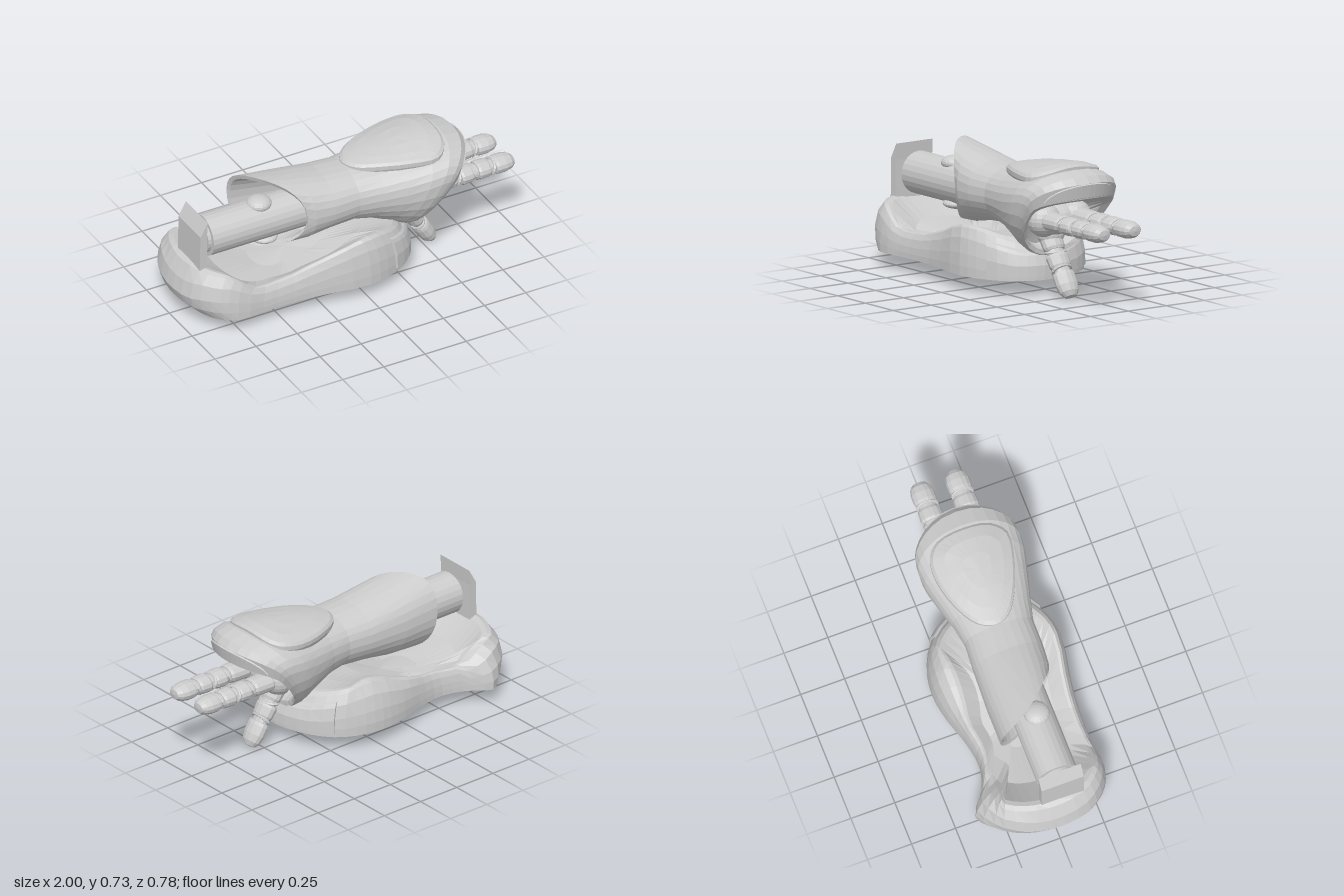
import * as THREE from 'three';

const grey = new THREE.MeshStandardMaterial({ color: 0xcccccc, flatShading: true });
const thin = new THREE.MeshStandardMaterial({ color: 0xcccccc, flatShading: true, side: THREE.DoubleSide });

function part(parent, name, geometry, material = grey) {
  const mesh = new THREE.Mesh(geometry, material);
  mesh.name = name;
  parent.add(mesh);
  return mesh;
}

// Skin over rows of [x, y, z] points; closed joins each row into a ring
function skin(rows, closed = true) {
  const n = rows[0].length, index = [];
  for (let i = 0; i < rows.length - 1; i++)
    for (let j = 0; j < (closed ? n : n - 1); j++) {
      const a = i * n + j, b = i * n + (j + 1) % n;
      index.push(a, a + n, b + n, a, b + n, b);
    }
  const g = new THREE.BufferGeometry();
  g.setAttribute('position', new THREE.Float32BufferAttribute(rows.flat(2), 3));
  g.setIndex(index);
  g.computeVertexNormals();
  return g;
}

// Closed smooth outline in the ground plane
function outline(points, count) {
  const curve = new THREE.CatmullRomCurve3(points.map(([x, z]) => new THREE.Vector3(x, 0, z)), true);
  return curve.getPoints(count).slice(0, count);
}

// Piecewise linear lookup in [x, value] pairs
function lookup(table, x) {
  if (x <= table[0][0]) return table[0][1];
  for (let i = 1; i < table.length; i++) {
    const [x0, v0] = table[i - 1], [x1, v1] = table[i];
    if (x <= x1) return v0 + (v1 - v0) * (x - x0) / (x1 - x0);
  }
  return table[table.length - 1][1];
}

// Sleeve stations: top x, y, bottom x, y, centre z, half width, side shear, side bow, height of widest point
const stations = [
  [-0.26, 0.63, -0.26, 0.34, 0.04, 0.15, 0, 0, 0.5],
  [-0.48, 0.685, -0.43, 0.30, 0.02, 0.175, 0.135, -0.05, 0.5],
  [-0.49, 0.71, -0.44, 0.28, 0.02, 0.19, 0.14, -0.05, 0.5],
  [-0.30, 0.68, -0.28, 0.29, 0.03, 0.20, 0.06, 0, 0.5],
  [-0.12, 0.65, -0.12, 0.32, 0.04, 0.20, 0, 0, 0.5],
  [0.03, 0.642, 0.03, 0.33, 0.045, 0.195, 0, 0, 0.52],
  [0.17, 0.65, 0.13, 0.31, 0.05, 0.22, 0, 0, 0.56],
  [0.32, 0.672, 0.22, 0.27, 0.05, 0.255, 0, 0, 0.6],
  [0.47, 0.692, 0.29, 0.23, 0.05, 0.285, 0, 0.01, 0.65],
  [0.60, 0.705, 0.33, 0.21, 0.05, 0.293, 0, 0.04, 0.67],
  [0.69, 0.685, 0.35, 0.205, 0.05, 0.29, 0, 0.07, 0.7],
  [0.72, 0.65, 0.36, 0.205, 0.05, 0.283, 0, 0.08, 0.73],
  [0.705, 0.565, 0.37, 0.21, 0.05, 0.265, 0, 0.085, 0.8],
  [0.67, 0.55, 0.37, 0.235, 0.05, 0.225, 0, 0.085, 0.75],
  [0.42, 0.52, 0.30, 0.26, 0.05, 0.18, 0, 0, 0.6],
  [0.40, 0.40, 0.32, 0.38, 0.05, 0.02, 0, 0, 0.5],
];

// Rounded section, boxier above its widest point than below
function sectionPoint([xt, yt, xb, yb, cz, hw, shear, bow, wide], a) {
  const e = Math.sin(a) > 0 ? 0.85 : 1;
  const soft = v => Math.sign(v) * Math.abs(v) ** e;
  const c = soft(Math.cos(a)), s = soft(Math.sin(a));
  const t = wide + s * (s > 0 ? 1 - wide : wide);
  return [xb + (xt - xb) * t + shear * c - bow * c * c, yb + (yt - yb) * t, cz + hw * c];
}

function addBase(group) {
  const edge = outline([
    [0.38, 0.05], [0.36, 0.17], [0.29, 0.28], [0.15, 0.36], [0, 0.39], [-0.3, 0.345], [-0.55, 0.335],
    [-0.76, 0.345], [-0.88, 0.30], [-0.97, 0.19], [-1, 0], [-0.97, -0.18], [-0.89, -0.31], [-0.76, -0.39],
    [-0.64, -0.31], [-0.5, -0.27], [-0.35, -0.29], [-0.18, -0.34], [-0.04, -0.36], [0.1, -0.34],
    [0.23, -0.27], [0.33, -0.13]], 56);
  const rim = [[-1, 0.3], [-0.93, 0.355], [-0.8, 0.335], [-0.73, 0.29], [-0.65, 0.225], [-0.55, 0.215], [-0.4, 0.23],
    [-0.2, 0.29], [-0.1, 0.33], [0, 0.355], [0.1, 0.345], [0.25, 0.30], [0.33, 0.26]];
  const floor = [[-0.85, 0.29], [-0.65, 0.2], [-0.4, 0.18], [-0.2, 0.23], [0, 0.31], [0.25, 0.28]];
  // One level of the wall: the far side leans inward, the heel tucks under
  const ring = (points, s, yOf, tuck = 0) => points.map(p => {
    const x = -0.3 + (p.x + 0.3) * s;
    const lean = Math.min(0, p.z + 0.3) * Math.min(Math.max(1 - s, 0), 0.15) * 8;
    return [x + tuck * THREE.MathUtils.clamp((-0.75 - x) / 0.25, 0, 1), yOf(x), s > 0 ? p.z * s - lean : 0];
  });
  const rimY = k => x => 0.08 + (lookup(rim, x) - 0.08) * k;
  const floorY = x => lookup(floor, x);
  part(group, 'base', skin([
    ring(edge, 0, () => 0.08), ring(edge, 1, () => 0.08, 0.07), ring(edge, 1, rimY(0.2), 0.02),
    ring(edge, 0.99, rimY(0.45), -0.008), ring(edge, 0.96, rimY(0.75), -0.01),
    ring(edge, 0.91, rimY(0.95)), ring(edge, 0.87, rimY(1)), ring(edge, 0.83, rimY(0.98)),
    ring(edge, 0.62, floorY), ring(edge, 0.3, floorY), ring(edge, 0, floorY)]));

  // Raised panel wrapped round the toe, its end columns sunk into the wall
  const start = edge.findIndex(p => p.x < 0.14);
  const arc = [...edge.slice(-8).filter(p => p.z > -0.28), ...edge.slice(0, start)];
  const lip = (s, y) => {
    const row = ring(arc, s, y), low = ring(arc, s - 0.035, y);
    return [low[0], ...row, low[low.length - 1]];
  };
  part(group, 'toePanel', skin([lip(0.99, () => 0.1), lip(1.015, () => 0.103), lip(1.012, rimY(0.45)),
    lip(0.984, rimY(0.75)), lip(0.964, rimY(0.83)), lip(0.92, rimY(0.85))], false), thin);
}

function addSleeve(group) {
  const sides = 28;
  part(group, 'sleeve', skin(stations.map(st =>
    Array.from({ length: sides }, (_, j) => sectionPoint(st, j / sides * Math.PI * 2)))), thin);

  // Raised band across the front of the hood
  const rows = [0, 0.06, 0.5, 0.94, 1].map((t, i) => Array.from({ length: 19 }, (_, j) => {
    const u = j / 18 * 2 - 1, a = Math.PI / 2 - u * 0.98;
    const k = 0.95 + (t - 1) * 0.95 * Math.sqrt(1 - u * u * 0.95);
    const st = stations[11].map((v, m) => v + (stations[12][m] - v) * k);
    const [x, y, z] = sectionPoint(st, a);
    return [x + (i % 4 ? 0.009 : -0.004), y, z];
  }));
  part(group, 'hoodBand', skin(rows, false), thin);

  // Domed plate on the back of the hand
  const edge = outline([[0.03, 0.03], [0.06, 0.11], [0.16, 0.18], [0.34, 0.25], [0.49, 0.27], [0.56, 0.2],
    [0.58, 0.05], [0.56, -0.11], [0.5, -0.17], [0.38, -0.185], [0.2, -0.14], [0.07, -0.06]], 36);
  const crest = [[0.03, 0.662], [0.2, 0.7], [0.35, 0.722], [0.48, 0.735], [0.58, 0.73]];
  const ring = (s, drop) => edge.map(p => {
    const x = 0.33 + (p.x - 0.33) * s, z = 0.045 + (p.z - 0.045) * s;
    return [x, lookup(crest, x) - 0.048 * ((z - 0.045) / 0.22) ** 2 - drop, z];
  });
  part(group, 'handPlate', skin([ring(0, 0), ring(0.35, 0), ring(0.7, 0), ring(0.94, 0.002), ring(1, 0.012),
    ring(1, 0.035), ring(0.96, 0.06)]), thin);
}

function ellipsoid(group, name, position, scale) {
  const mesh = part(group, name, new THREE.SphereGeometry(1, 18, 12));
  mesh.position.set(...position);
  mesh.scale.set(...scale);
}

// Jointed finger growing along its own y axis
function addFinger(group, name, position, angle, spans) {
  const finger = new THREE.Group();
  finger.name = name;
  const end = spans[spans.length - 1][1];
  const core = part(finger, 'core', new THREE.CylinderGeometry(0.045, 0.048, end - 0.05, 12));
  core.position.y = (end - 0.05) / 2;
  spans.forEach(([a, b], i) => {
    const r = 0.064 - 0.001 * i, len = b - a, tip = i === spans.length - 1;
    const profile = tip
      ? [[0.03, 0], [r - 0.004, 0.002], [r, 0.02], [r, len * 0.5], [r * 0.86, len * 0.78], [r * 0.55, len * 0.96], [0, len]]
      : [[0.03, 0], [r - 0.006, 0.002], [r, 0.015], [r - 0.003, len - 0.015], [r - 0.01, len], [0.03, len]];
    const seg = part(finger, tip ? 'fingertip' : 'phalanx', new THREE.LatheGeometry(profile.map(p => new THREE.Vector2(...p)), 14));
    seg.position.y = a;
    if (!tip) {
      // Tilted collar bridging the joint
      const collar = part(finger, 'jointCollar', new THREE.TorusGeometry(0.052, 0.009, 6, 16));
      collar.position.y = b + 0.01;
      collar.rotation.set(Math.PI / 2, i % 2 ? 0.3 : -0.3, 0);
    }
  });
  finger.position.set(...position);
  finger.rotation.z = angle;
  finger.scale.set(0.8, 1, 1.06);
  group.add(finger);
}

export function createModel() {
  const group = new THREE.Group();
  addBase(group);
  addSleeve(group);

  // Forearm with its end flange
  for (const [name, r, x0, x1] of [['forearm', 0.115, -0.82, -0.2], ['forearmFlange', 0.092, -0.84, -0.81]]) {
    const tube = part(group, name, new THREE.CylinderGeometry(r, r, x1 - x0, 24));
    tube.rotation.z = Math.PI / 2;
    tube.position.set((x0 + x1) / 2, 0.47, 0.05);
  }

  // End plate with a slanted fin along its top
  const profile = new THREE.Shape([[-0.91, 0.32], [-0.865, 0.32], [-0.865, 0.54], [-0.86, 0.63], [-0.905, 0.55]]
    .map(p => new THREE.Vector2(...p)));
  part(group, 'endPlate', new THREE.ExtrudeGeometry(profile, { depth: 0.24, bevelEnabled: false })).position.z = -0.07;

  // Wrist domes
  ellipsoid(group, 'wristDomeTop', [-0.49, 0.575, 0.06], [0.07, 0.04, 0.07]);
  ellipsoid(group, 'wristDomeBottom', [-0.46, 0.36, 0.05], [0.08, 0.03, 0.09]);

  // Palm with two knuckle lobes, thumb mount and fingers
  ellipsoid(group, 'palm', [0.42, 0.415, 0.05], [0.1, 0.085, 0.15]);
  ellipsoid(group, 'thumbMount', [0.37, 0.32, 0.05], [0.06, 0.06, 0.08]);
  for (const z of [0.153, -0.047]) {
    ellipsoid(group, 'knuckle', [0.45, 0.422, z], [0.085, 0.09, 0.095]);
    addFinger(group, 'finger', [0.51, 0.425, z], -Math.PI / 2, [[0, 0.13], [0.155, 0.235], [0.26, 0.34], [0.365, 0.49]]);
  }
  addFinger(group, 'thumb', [0.36, 0.325, 0.055], -2.577, [[0, 0.1], [0.125, 0.205], [0.23, 0.375]]);
  return group;
}
